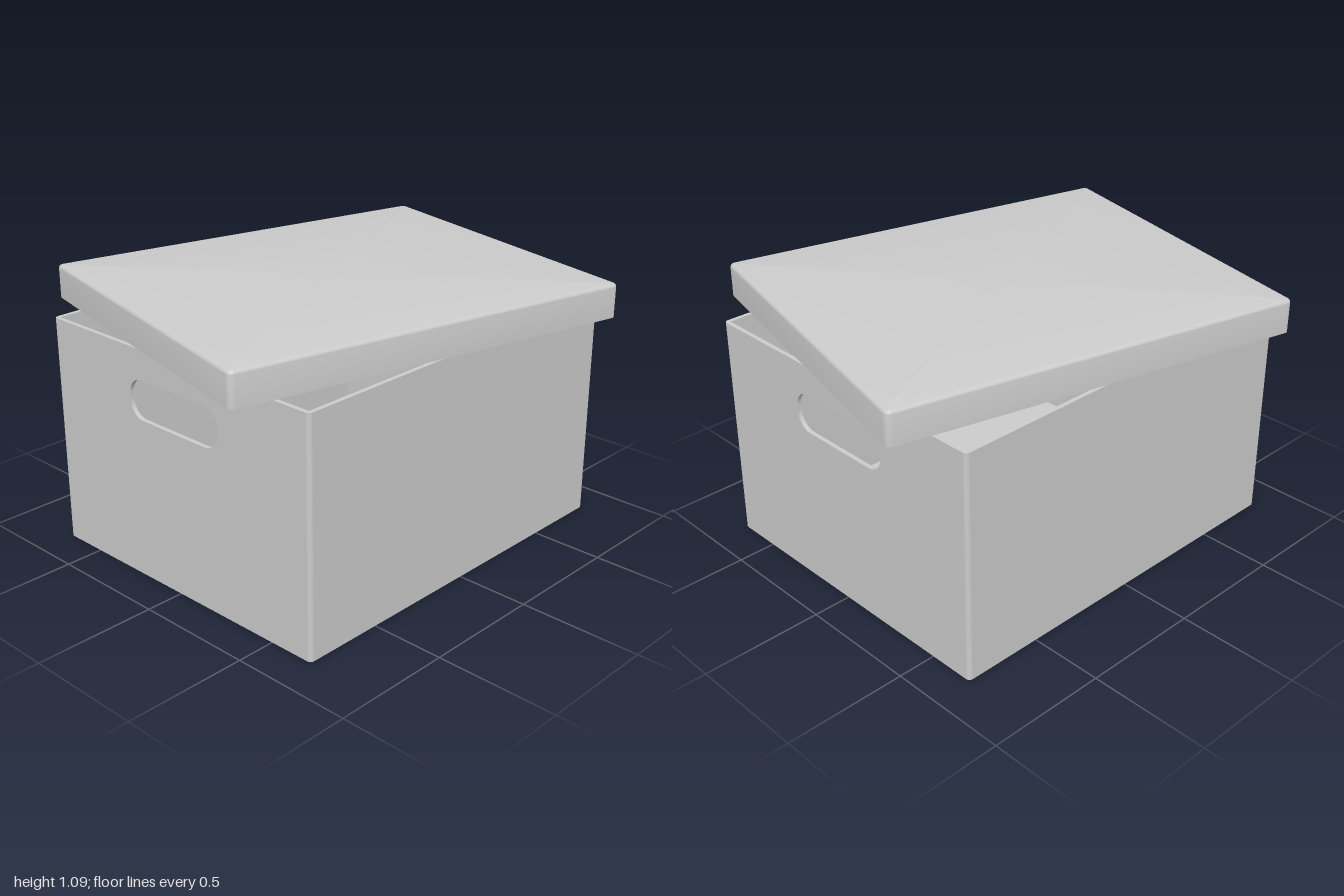
import * as THREE from 'three';
import { toCreasedNormals } from 'three/addons/utils/BufferGeometryUtils.js';

const grey = new THREE.MeshStandardMaterial({ color: 0xcccccc });

const W = 0.84, D = 0.695, H = 0.955, T = 0.018; // box half width, half depth, height, wall

function part(name, geometry, x = 0, y = 0, z = 0) {
  const mesh = new THREE.Mesh(geometry, grey);
  mesh.name = name;
  mesh.position.set(x, y, z);
  return mesh;
}

// Rounded rectangle outline, counterclockwise seen from above
function roundedLoop(halfX, halfZ, r, inset, y) {
  const points = [], steps = 5;
  const rad = Math.max(r - inset, 0.003);
  const cx = halfX - inset - rad, cz = halfZ - inset - rad;
  [[1, 1], [-1, 1], [-1, -1], [1, -1]].forEach(([sx, sz], corner) => {
    for (let i = 0; i <= steps; i++) {
      const a = (corner + i / steps) * Math.PI / 2;
      points.push(new THREE.Vector3(sx * cx + rad * Math.cos(a), y, -(sz * cz + rad * Math.sin(a))));
    }
  });
  return points;
}

// Skin a series of [inset, y] loops, closed at both ends
function skinLoops(halfX, halfZ, r, profile) {
  const loops = profile.map(([inset, y]) => roundedLoop(halfX, halfZ, r, inset, y));
  const n = loops[0].length, points = [];
  const first = new THREE.Vector3(0, profile[0][1], 0);
  const last = new THREE.Vector3(0, profile[profile.length - 1][1], 0);
  for (let j = 0; j < n; j++) {
    const k = (j + 1) % n;
    points.push(first, loops[0][k], loops[0][j]);
    for (let i = 0; i < loops.length - 1; i++) {
      const lo = loops[i], up = loops[i + 1];
      points.push(lo[j], lo[k], up[k], lo[j], up[k], up[j]);
    }
    const end = loops[loops.length - 1];
    points.push(end[j], end[k], last);
  }
  return toCreasedNormals(new THREE.BufferGeometry().setFromPoints(points), 0.6);
}

// End wall with a rounded handle slot
function endWallGeometry() {
  const d = D - T;
  const shape = new THREE.Shape([[-d, 0], [d, 0], [d, H], [-d, H]].map(p => new THREE.Vector2(...p)));
  const slot = new THREE.Path();
  const hw = 0.242, y0 = 0.67, y1 = 0.834, r = 0.07;
  slot.absarc(hw - r, y0 + r, r, -Math.PI / 2, 0);
  slot.absarc(hw - r, y1 - r, r, 0, Math.PI / 2);
  slot.absarc(-hw + r, y1 - r, r, Math.PI / 2, Math.PI);
  slot.absarc(-hw + r, y0 + r, r, Math.PI, Math.PI * 1.5);
  slot.closePath();
  shape.holes.push(slot);
  const geometry = new THREE.ExtrudeGeometry(shape, { depth: T, bevelEnabled: false, curveSegments: 10 });
  return toCreasedNormals(geometry.rotateY(Math.PI / 2), 0.6);
}

function createBox() {
  const box = new THREE.Group();
  box.name = 'box';
  const endWall = endWallGeometry();
  box.add(part('leftWall', endWall, W - T), part('rightWall', endWall, -W));

  const longWall = new THREE.BoxGeometry(2 * (W - T), H, T);
  box.add(part('frontWall', longWall, 0, H / 2, D - T / 2), part('backWall', longWall, 0, H / 2, -D + T / 2));

  box.add(part('floor', new THREE.BoxGeometry(2 * (W - T), T, 2 * (D - T)), 0, T / 2, 0));

  // Rounded upright corners
  [[1, 1], [1, -1], [-1, -1], [-1, 1]].forEach(([sx, sz], i) => {
    const corner = new THREE.CylinderGeometry(T, T, H, 5, 1, false, i * Math.PI / 2, Math.PI / 2);
    box.add(part('cornerEdge', corner, sx * (W - T), H / 2, sz * (D - T)));
  });
  return box;
}

// Hollow lid: ceiling, inner skirt, lip, outer skirt, softened top edge
function createLid() {
  const top = 1.092, soft = 0.014, profile = [[T, top - T], [T, H], [0, H]];
  for (let i = 0; i <= 4; i++) {
    const a = i / 4 * Math.PI / 2;
    profile.push([soft * (1 - Math.cos(a)), top - soft * (1 - Math.sin(a))]);
  }
  const lid = part('lid', skinLoops(0.86, 0.71, 0.024, profile));
  lid.rotation.y = -0.236;
  return lid;
}

export function createModel() {
  const model = new THREE.Group();
  model.name = 'storageBox';
  model.add(createBox(), createLid());
  return model;
}
